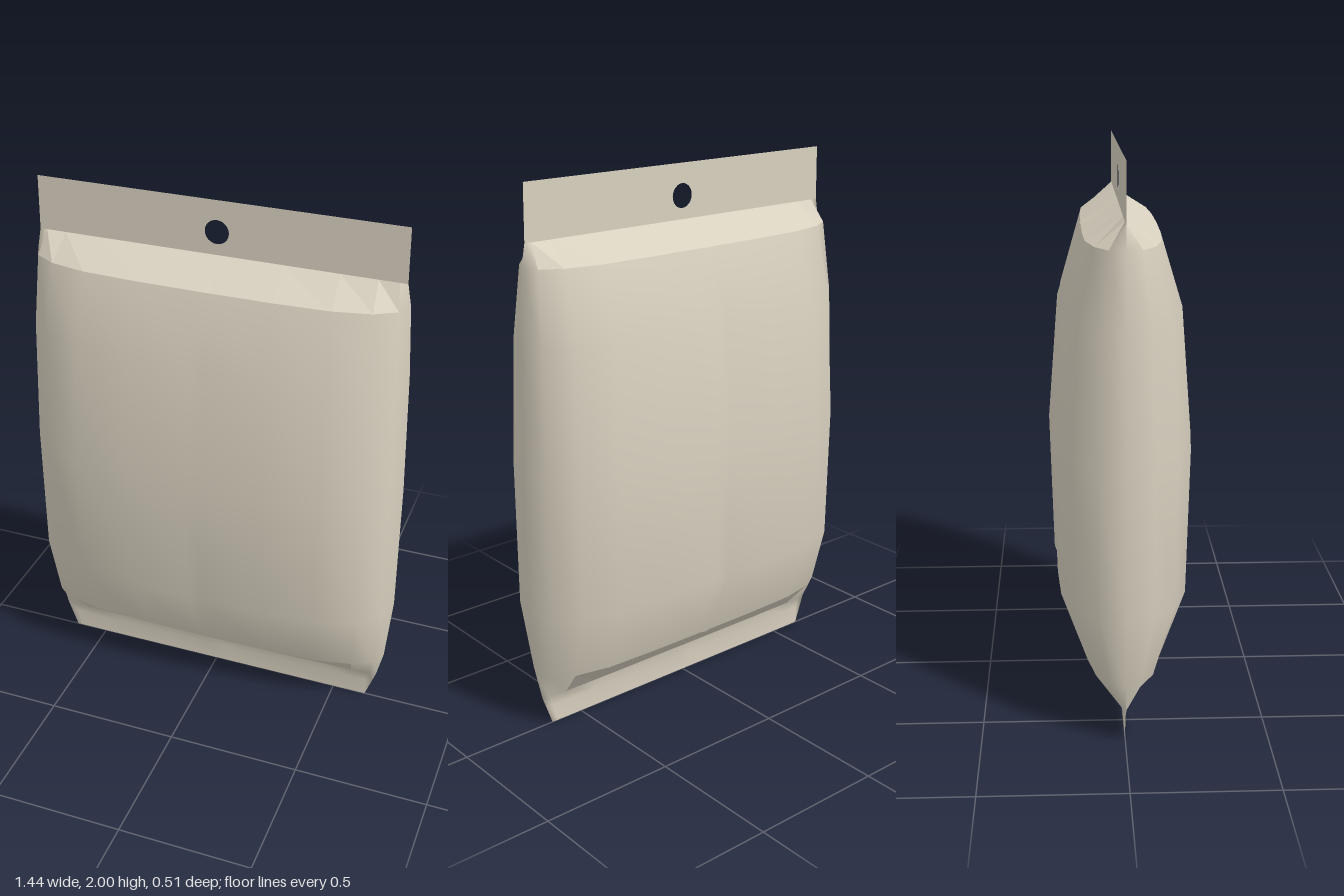
import * as THREE from 'three';

// Quarter of the pillow cross-section, from side edge to centre line:
// [x fraction, front z fraction, back z fraction]
const QUARTER = [
  [1, 0, 0], [0.96, 0.39, 0.39], [0.85, 0.71, 0.71], [0.655, 0.91, 0.91],
  [0.36, 0.98, 0.96], [0.035, 0.995, 0.965], [0, 1, 1.01],
];

// Levels of the bag: [y, half width, half depth]
const LEVELS = [
  [0, 0.63, 0.001], [0.07, 0.655, 0.002], [0.112, 0.67, 0.012], [0.22, 0.695, 0.14],
  [0.48, 0.718, 0.24], [1.0, 0.717, 0.255], [1.46, 0.705, 0.22],
  [1.72, 0.69, 0.14], [1.8, 0.675, 0.001],
];
const BOTTOM_LEDGE = 2, TOP_LEDGE = 7;

// Full ring running +x, front, -x, back
function makeRing() {
  const front = QUARTER.map(([x, f]) => [x, f]);
  const back = QUARTER.map(([x, , b]) => [x, -b]);
  const flip = (p) => p.slice(0, -1).reverse().map(([x, z]) => [-x, z]);
  return [...front, ...flip(front), ...back.slice(1).map(([x, z]) => [-x, z]),
    ...back.slice(1, -1).reverse()];
}

export function createModel() {
  const group = new THREE.Group();
  group.name = 'pouch';
  const foil = new THREE.MeshStandardMaterial({ color: 0xd8d0bf, side: THREE.DoubleSide });
  foil.name = 'beige foil';

  const ring = makeRing();
  const n = ring.length;
  const positions = [];
  for (const [y, w, d] of LEVELS) {
    for (const [x, z] of ring) positions.push(x * w, y, z * d);
  }

  // Sort the loft's faces into the soft body and the two folded ledges
  const faces = { body: [], bottomLedge: [], topLedge: [] };
  for (let j = 0; j < LEVELS.length - 1; j++) {
    for (let i = 0; i < n; i++) {
      const k = (i + 1) % n;
      const reach = Math.max(Math.abs(ring[i][0]), Math.abs(ring[k][0]));
      let part = 'body';
      if (j === BOTTOM_LEDGE && reach < 0.87) part = 'bottomLedge';
      if (j === TOP_LEDGE && reach < 0.97) part = 'topLedge';
      const a = j * n + i, b = j * n + k, c = b + n, d = a + n;
      faces[part].push(a, d, c, a, c, b);
    }
  }
  for (const [name, index] of Object.entries(faces)) {
    let geo = new THREE.BufferGeometry();
    geo.setAttribute('position', new THREE.Float32BufferAttribute(positions, 3));
    geo.setIndex(index);
    if (name !== 'body') geo = geo.toNonIndexed(); // crisp folded facets
    geo.computeVertexNormals();
    const mesh = new THREE.Mesh(geo, foil);
    mesh.name = name;
    group.add(mesh);
  }

  // Flat top seal with a round hanging hole
  const seal = new THREE.Shape();
  seal.moveTo(-0.675, 1.79);
  seal.lineTo(0.675, 1.79);
  seal.lineTo(0.672, 2);
  seal.lineTo(-0.672, 2);
  seal.closePath();
  const hole = new THREE.Path();
  hole.absarc(0, 1.884, 0.044, 0, Math.PI * 2, true);
  seal.holes.push(hole);
  const topSeal = new THREE.Mesh(new THREE.ShapeGeometry(seal, 12), foil);
  topSeal.name = 'topSeal';
  group.add(topSeal);

  return group;
}
